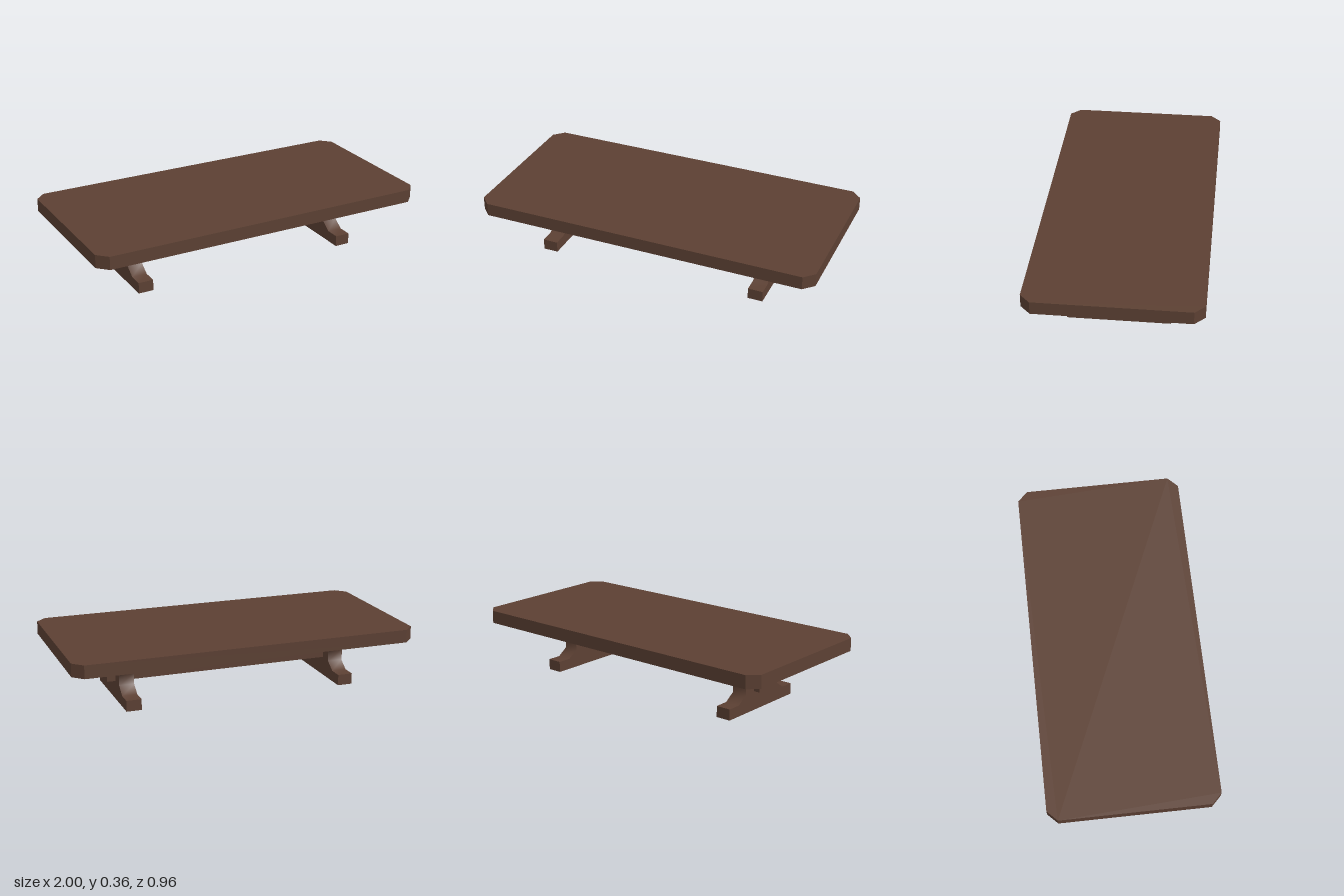
import * as THREE from 'three';
import { toCreasedNormals } from 'three/addons/utils/BufferGeometryUtils.js';

const polygon = (points) => new THREE.Shape(points.map(([x, y]) => new THREE.Vector2(x, y)));

const extrude = (points, depth) =>
  new THREE.ExtrudeGeometry(polygon(points), { depth, bevelEnabled: false });

export function createModel() {
  const group = new THREE.Group();
  const darkWood = new THREE.MeshStandardMaterial({ color: 0x5c4033 });
  darkWood.name = 'darkWood';

  const add = (name, geometry, x, y, z) => {
    const mesh = new THREE.Mesh(geometry, darkWood);
    mesh.name = name;
    mesh.position.set(x, y, z);
    group.add(mesh);
  };

  // Table top: a slab with clipped corners
  const w = 1, d = 0.48, cut = 0.057;
  const top = extrude([
    [-w + cut, -d], [w - cut, -d], [w, -d + cut], [w, d - cut],
    [w - cut, d], [-w + cut, d], [-w, d - cut], [-w, -d + cut],
  ], 0.075);
  top.rotateX(-Math.PI / 2);
  add('tableTop', top, 0, 0.283, 0);

  // Trestle legs: foot, waisted post and head in one profile, mirrored front to back
  const side = [
    [0.286, 0], [0.286, 0.063], [0.203, 0.063], [0.142, 0.106],
    [0.142, 0.172], [0.203, 0.218], [0.286, 0.218], [0.286, 0.283],
  ];
  const mirrored = side.map(([x, y]) => [-x, y]).reverse();
  const thickness = 0.087;
  const leg = toCreasedNormals(
    extrude([...side, ...mirrored], thickness).translate(0, 0, -thickness / 2).rotateY(Math.PI / 2),
    THREE.MathUtils.degToRad(60),
  );
  add('rightLeg', leg, -0.657, 0, 0);
  add('leftLeg', leg, 0.625, 0, 0);

  // Stretcher beam, passing through both legs
  add('stretcher', new THREE.BoxGeometry(1.456, 0.061, 0.129), -0.011, 0.14, -0.005);

  return group;
}
